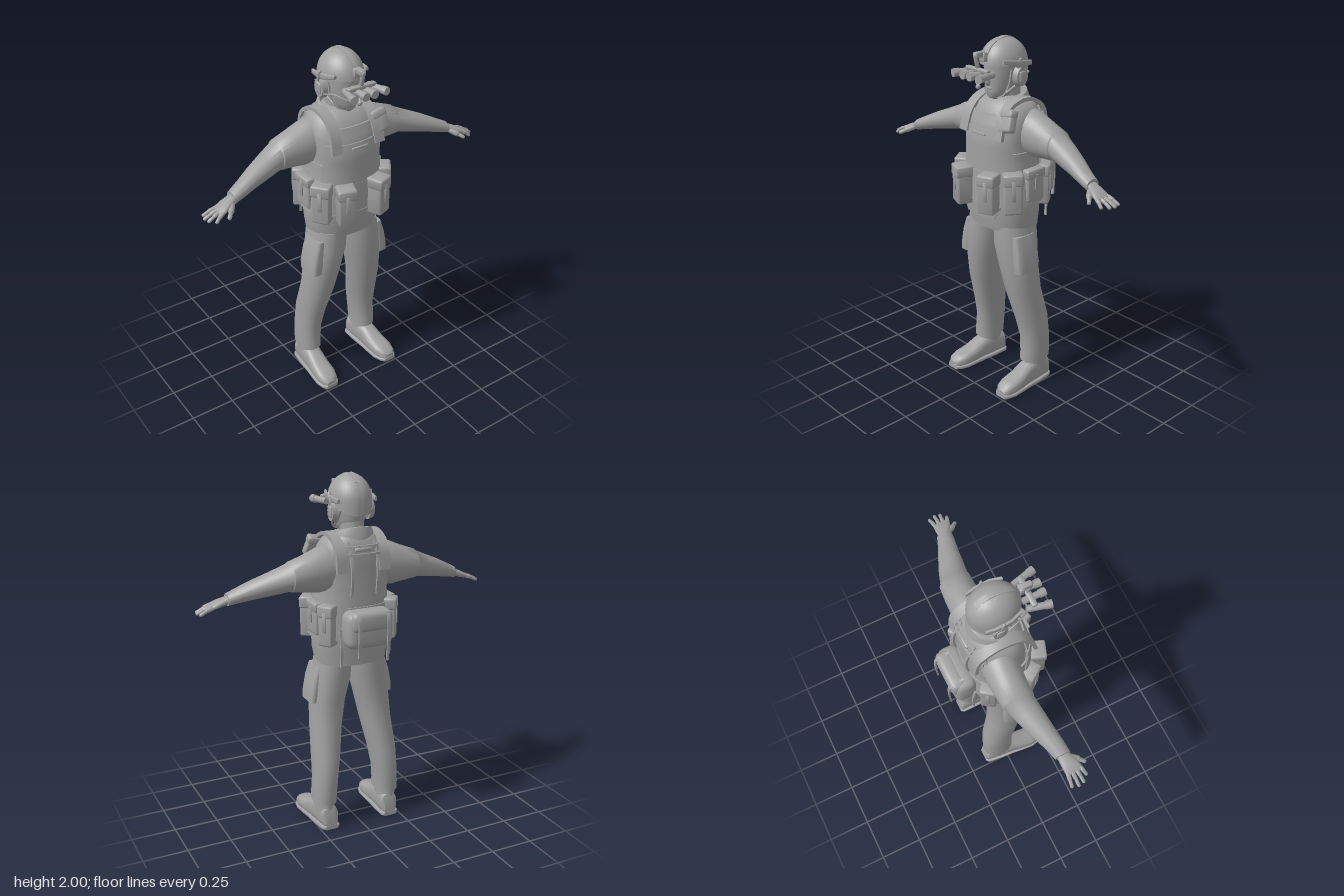
import * as THREE from 'three';
import { toCreasedNormals } from 'three/addons/utils/BufferGeometryUtils.js';
import { RoundedBoxGeometry } from 'three/addons/geometries/RoundedBoxGeometry.js';

const V = (x, y, z) => new THREE.Vector3(x, y, z);

// Closed solid through equal-length rings of points, both ends capped.
function loft(rings) {
  const n = rings[0].length, idx = [], last = (rings.length - 1) * n;
  for (let i = 0; i < rings.length - 1; i++) for (let j = 0; j < n; j++) {
    const a = i * n + j, b = i * n + (j + 1) % n;
    idx.push(a, a + n, b, b, a + n, b + n);
  }
  for (let j = 0; j < n / 2 - 1; j++) {
    const [a, b, c, d] = [j, j + 1, n - 2 - j, n - 1 - j];
    idx.push(a, b, c, a, c, d, last + a, last + c, last + b, last + a, last + d, last + c);
  }
  const g = new THREE.BufferGeometry().setFromPoints(rings.flat());
  g.setIndex(idx);
  return g;
}

// Superellipse ring across the given axis; a and b are its half sizes.
function ring(axis, x, y, z, a, b, p = 2, n = 32) {
  return Array.from({ length: n }, (_, i) => {
    const t = (i + 0.5) / n * Math.PI * 2, c = Math.cos(t), s = Math.sin(t);
    const u = a * Math.sign(c) * Math.abs(c) ** (2 / p), v = b * Math.sign(s) * Math.abs(s) ** (2 / p);
    return axis === 'y' ? V(x + u, y, z + v) : axis === 'x' ? V(x, y + u, z + v) : V(x + u, y + v, z);
  });
}
const body = (axis, rows, p, n) => loft(rows.map(r => ring(axis, ...r, p, n)));

// Torso profile: y, half width, half depth, z centre.
const torso = [[0.975, 0.2, 0.15, 0.015], [1.05, 0.213, 0.158, 0.02], [1.13, 0.215, 0.165, 0.02],
  [1.25, 0.203, 0.165, 0.02], [1.38, 0.19, 0.162, 0.02], [1.48, 0.19, 0.162, 0.02], [1.56, 0.195, 0.155, 0.01],
  [1.62, 0.186, 0.143, 0], [1.66, 0.16, 0.125, -0.005], [1.695, 0.1, 0.09, -0.015]];
function torsoAt(y, t, d) {
  let i = 0;
  while (i < torso.length - 2 && torso[i + 1][0] < y) i++;
  const k = (y - torso[i][0]) / (torso[i + 1][0] - torso[i][0]);
  const [, rx, rz, cz] = torso[i].map((v, j) => THREE.MathUtils.lerp(v, torso[i + 1][j], k));
  const c = Math.cos(t), s = Math.sin(t), e = 2 / 2.4;
  return V((rx + d) * Math.sign(c) * Math.abs(c) ** e, y, cz + (rz + d) * Math.sign(s) * Math.abs(s) ** e);
}
// Raised panel that follows the torso between two heights, half angle in radians.
function panel(y0, y1, mid, half0, half1, d) {
  const rows = 8, cols = 20;
  return loft(Array.from({ length: rows + 1 }, (_, i) => {
    const k = i / rows, y = y0 + (y1 - y0) * k, h = half0 + (half1 - half0) * k;
    const arc = off => Array.from({ length: cols + 1 }, (_, j) => torsoAt(y, mid - h + 2 * h * j / cols, off));
    return [...arc(d), ...arc(-0.02).reverse()];
  }));
}
// Flat strap along a path lying roughly in the yz plane.
function ribbon(pts, w, t) {
  const curve = new THREE.CatmullRomCurve3(pts.map(p => V(...p))), steps = 20;
  return loft(Array.from({ length: steps + 1 }, (_, i) => {
    const p = curve.getPoint(i / steps), side = V(1, 0, 0);
    const nrm = side.clone().cross(curve.getTangent(i / steps)).normalize();
    return [[1, 1], [-1, 1], [-1, -1], [1, -1]].map(([a, b]) =>
      p.clone().addScaledVector(side, a * w / 2).addScaledVector(nrm, b * t / 2));
  }));
}
const box = (w, h, d, x, y, z, rot = 0, r = 0.012) => new RoundedBoxGeometry(w, h, d, 2, r).rotateY(rot).translate(x, y, z);
const tube = (pts, r) => new THREE.TubeGeometry(new THREE.CatmullRomCurve3(pts.map(p => V(...p))), 20, r, 8);
function rod(a, b, r, capped = true) {
  const A = V(...a), B = V(...b), d = B.clone().sub(A), L = d.length();
  const g = capped ? new THREE.CapsuleGeometry(r, L, 5, 12) : new THREE.CylinderGeometry(r, r, L, 18);
  g.applyQuaternion(new THREE.Quaternion().setFromUnitVectors(V(0, 1, 0), d.normalize()));
  return g.translate(...A.add(B).multiplyScalar(0.5).toArray());
}

export function createModel() {
  const model = new THREE.Group();
  const grey = new THREE.MeshStandardMaterial({ color: 0xa0a0a0 });
  grey.name = 'plain grey';

  function add(name, geo, flip = 1, crease = 0.7) {
    let g = geo.index ? geo.toNonIndexed() : geo.clone();
    g.deleteAttribute('uv');
    if (flip < 0) { // mirrored copy with its corners put back in order
      g.scale(-1, 1, 1);
    }
    const p = g.attributes.position, a = V(), b = V(), c = V();
    let vol = 0;
    for (let i = 0; i < p.count; i += 3) {
      a.fromBufferAttribute(p, i); b.fromBufferAttribute(p, i + 1); c.fromBufferAttribute(p, i + 2);
      vol += a.dot(b.cross(c));
    }
    if (vol < 0) for (let i = 0; i < p.count; i += 3) {
      b.fromBufferAttribute(p, i + 1); c.fromBufferAttribute(p, i + 2);
      p.setXYZ(i + 1, c.x, c.y, c.z); p.setXYZ(i + 2, b.x, b.y, b.z);
    }
    g.deleteAttribute('normal');
    g = toCreasedNormals(g, crease);
    const m = new THREE.Mesh(g, grey);
    m.name = name;
    model.add(m);
  }
  const pair = (name, geo, crease) => {
    add('left' + name, geo, 1, crease);
    add('right' + name, geo, -1, crease);
  };

  // Jacket and vest
  add('jacket', body('y', torso.map(([y, rx, rz, cz]) => [0, y, cz, rx, rz]), 2.4, 48));
  const F = Math.PI / 2, B = -Math.PI / 2;
  add('vestFront', panel(1.3, 1.54, F, 1.15, 0.95, 0.016));
  add('vestBib', panel(1.53, 1.62, F, 0.95, 0.75, 0.01));
  add('vestBack', panel(1.3, 1.64, B, 1.1, 0.9, 0.012));
  add('backPlate', panel(1.4, 1.6, B, 0.8, 0.8, 0.022));
  add('jacketFrontFlap', panel(1.05, 1.14, F, 0.4, 0.65, 0.02));
  for (const mid of [0, Math.PI]) add('vestSide', panel(1.3, 1.42, mid, 0.7, 0.7, 0.01));
  for (const mid of [F, B]) add('belt', panel(1.13, 1.31, mid, 1.62, 1.62, 0.018));
  pair('ShoulderStrap', ribbon([[0.135, 1.5, 0.178], [0.13, 1.6, 0.15], [0.125, 1.66, 0.1], [0.125, 1.69, 0.02],
    [0.125, 1.68, -0.06], [0.125, 1.62, -0.135], [0.125, 1.5, -0.155]], 0.062, 0.02));
  pair('BackCord', ribbon([[0.075, 1.66, -0.12], [0.075, 1.55, -0.168], [0.075, 1.47, -0.175], [0.075, 1.38, -0.165]], 0.014, 0.012));
  add('dragHandle', box(0.1, 0.02, 0.02, 0, 1.62, -0.15, 0, 0.006));
  add('shoulderPouch', box(0.085, 0.115, 0.05, 0, 0, 0).rotateX(-0.4).rotateZ(0.2).translate(0.165, 1.6, 0.135));
  add('shoulderPouchFlap', box(0.09, 0.045, 0.054, 0, 0.04, 0).rotateX(-0.4).rotateZ(0.2).translate(0.165, 1.6, 0.137));
  add('chestTab', box(0.1, 0.012, 0.012, 0, 1.515, 0.194, 0, 0.004));

  // Sloping collar around the neck
  add('collar', loft([[1.6, 0.13, 0.125], [1.655, 0.125, 0.118], [1.695, 0.112, 0.105], [1.7, 0.1, 0.095], [1.62, 0.08, 0.078]]
    .map(([y, a, b]) => ring('y', 0, y, -0.005, a, b).map(p => V(p.x, p.y - p.z * 0.32, p.z)))));

  // Head
  add('neck', body('y', [[0, 1.6, -0.02, 0.065, 0.07], [0, 1.76, -0.01, 0.065, 0.07]]));
  add('face', body('y', [[0, 1.685, 0.055, 0.03, 0.05], [0, 1.7, 0.04, 0.052, 0.078], [0, 1.73, 0.025, 0.068, 0.096],
    [0, 1.77, 0.02, 0.08, 0.104], [0, 1.82, 0.02, 0.086, 0.106], [0, 1.89, 0.02, 0.088, 0.108]], 2.2));
  add('nose', new THREE.SphereGeometry(1, 14, 10).scale(0.015, 0.03, 0.022).translate(0, 1.785, 0.122));
  add('mouth', new THREE.SphereGeometry(1, 14, 8).scale(0.024, 0.009, 0.012).translate(0, 1.745, 0.115));

  // Helmet shell: the rim sits high over the face and low at the nape
  const rim = s => 1.865 + (s > 0.3 ? 0.005 : THREE.MathUtils.lerp(-0.075, 0.005, (s + 1) / 1.3));
  const shell = (k, f) => Array.from({ length: 40 }, (_, j) => {
    const t = (j + 0.5) / 40 * Math.PI * 2, s = Math.sin(t);
    const end = Math.acos((rim(s) - 1.865) / 0.135), q = end * k, r = f * (q > F ? 0.94 + 0.06 * Math.sin(q) : Math.sin(q));
    return V(0.114 * r * Math.cos(t), 1.865 + 0.135 * Math.cos(q), 0.015 + 0.138 * r * s);
  });
  add('helmet', loft([...Array.from({ length: 14 }, (_, i) => shell(0.02 + 0.98 * i / 13, 1)), shell(1, 0.9), shell(0.9, 0.86)]));
  pair('HelmetRail', body('z', [[0.108, 1.868, -0.08, 0.007, 0.012], [0.117, 1.872, -0.03, 0.008, 0.016],
    [0.117, 1.882, 0.05, 0.008, 0.016], [0.098, 1.895, 0.11, 0.008, 0.01]], 4, 16));
  pair('EarCup', new THREE.CylinderGeometry(0.042, 0.05, 0.03, 24).rotateZ(-F).scale(1, 1.15, 0.9).translate(0.108, 1.805, -0.005));
  pair('EarCupCap', box(0.016, 0.06, 0.045, 0.121, 1.805, -0.005, 0, 0.007));
  pair('EarCupArm', rod([0.12, 1.85, -0.005], [0.122, 1.9, 0.01], 0.008));
  pair('ChinStrap', tube([[0.1, 1.85, 0.06], [0.087, 1.77, 0.065], [0.062, 1.71, 0.085], [0, 1.692, 0.11]], 0.006));
  pair('NapeStrap', tube([[0.095, 1.82, -0.075], [0.085, 1.77, -0.02], [0.068, 1.72, 0.06]], 0.006));
  add('helmetCrest', ribbon([[0, 1.915, 0.146], [0, 1.965, 0.11], [0, 1.996, 0.04], [0, 1.996, -0.02], [0, 1.96, -0.08]], 0.03, 0.006));
  add('microphoneBoom', tube([[-0.115, 1.78, 0.03], [-0.1, 1.8, 0.1], [-0.06, 1.78, 0.16], [-0.01, 1.765, 0.185]], 0.004));
  add('microphone', new THREE.SphereGeometry(0.014, 14, 10).translate(-0.005, 1.763, 0.19));

  // Goggles on their hinged mount
  add('goggleMount', box(0.045, 0.05, 0.025, 0, 1.915, 0.158, 0, 0.006));
  add('goggleHinge', box(0.03, 0.03, 0.06, 0, 1.93, 0.185, 0, 0.006));
  add('goggleArm', rod([0, 1.93, 0.21], [0, 1.86, 0.195], 0.012));
  add('goggleBridge', box(0.17, 0.022, 0.03, 0, 1.853, 0.195, 0, 0.006));
  for (const [x, splay] of [[0.027, 0], [0.07, 0.025]]) {
    pair('GoggleTube', rod([x, 1.833, 0.155], [x + splay, 1.833, 0.25], 0.018, false));
    pair('GoggleLens', rod([x + splay * 0.9, 1.833, 0.245], [x + splay * 1.2, 1.833, 0.278], 0.022, false));
  }

  // Arms and hands
  pair('Sleeve', body('x', [[0.08, 1.53, -0.03, 0.11, 0.1], [0.17, 1.515, -0.03, 0.125, 0.098], [0.22, 1.505, -0.032, 0.12, 0.095],
    [0.29, 1.495, -0.032, 0.1, 0.09], [0.37, 1.485, -0.027, 0.081, 0.086], [0.375, 1.484, -0.026, 0.075, 0.08],
    [0.46, 1.457, -0.005, 0.064, 0.072], [0.55, 1.43, 0.02, 0.053, 0.06], [0.63, 1.402, 0.045, 0.042, 0.05], [0.692, 1.38, 0.06, 0.033, 0.043]]));
  pair('Palm', body('x', [[0.67, 1.385, 0.056, 0.022, 0.032], [0.71, 1.37, 0.067, 0.021, 0.037], [0.74, 1.36, 0.075, 0.02, 0.045],
    [0.775, 1.346, 0.082, 0.016, 0.048], [0.788, 1.342, 0.084, 0.01, 0.043]], 2.3, 24));
  for (const [z0, x1, z1] of [[0.046, 0.84, 0.038], [0.07, 0.85, 0.072], [0.094, 0.843, 0.103], [0.117, 0.815, 0.132]]) {
    const mid = [(0.772 + x1) / 2, 1.337, (z0 + z1) / 2];
    pair('FingerBase', rod([0.772, 1.347, z0], mid, 0.0115));
    pair('FingerTip', rod(mid, [x1, 1.32, z1], 0.0095));
  }
  pair('ThumbBase', rod([0.705, 1.365, 0.09], [0.73, 1.35, 0.125], 0.016));
  pair('ThumbTip', rod([0.73, 1.35, 0.125], [0.755, 1.333, 0.152], 0.011));

  // Belt pouches: x, y, z, width, height, depth, turn
  for (const [x, y, z, w, h, d, rot] of [[0.105, 1.212, 0.215, 0.095, 0.215, 0.1, 0.35], [0.195, 1.215, 0.13, 0.1, 0.225, 0.085, 0.95],
    [0.215, 1.24, 0.0, 0.12, 0.18, 0.05, F], [0.185, 1.215, -0.1, 0.085, 0.225, 0.08, 2.2]]) {
    pair('Pouch', box(w, h, d, x, y, z, rot));
    pair('PouchFlap', box(w + 0.008, h * 0.3, d + 0.01, x, y + h * 0.36, z, rot));
    const o = d / 2 + 0.003;
    pair('PouchTab', box(0.022, h * 0.5, 0.008, x + Math.sin(rot) * o, y + h * 0.1, z + Math.cos(rot) * o, rot, 0.003));
  }

  // Rear bag with hanging straps
  add('rearBag', box(0.27, 0.205, 0.13, 0, 1.205, -0.2, 0, 0.045));
  add('rearBagFlap', box(0.235, 0.11, 0.09, 0, 1.255, -0.235, 0, 0.03));
  pair('BagStrap', ribbon([[0.085, 1.31, -0.2], [0.085, 1.29, -0.275], [0.085, 1.2, -0.288], [0.085, 1.07, -0.282]], 0.018, 0.008));
  pair('HangingStrap', ribbon([[0.14, 1.2, -0.16], [0.14, 1.1, -0.175], [0.14, 0.99, -0.172]], 0.014, 0.008));

  // Trousers, cargo pockets and boots
  pair('TrouserLeg', body('y', [[0.196, 0.155, -0.045, 0.066, 0.093], [0.196, 0.2, -0.047, 0.067, 0.093], [0.189, 0.3, -0.05, 0.069, 0.092],
    [0.178, 0.42, -0.033, 0.077, 0.1], [0.156, 0.6, 0.012, 0.088, 0.104], [0.137, 0.75, 0.03, 0.099, 0.112],
    [0.113, 0.88, 0.03, 0.106, 0.125], [0.1, 1.0, 0.025, 0.1, 0.125]].map(([x, y, z, a, b]) => [x, y, z, a, b]), 2.2));
  pair('CargoPocket', body('y', [[0.222, 0.745, 0.05, 0.034, 0.075], [0.218, 0.79, 0.05, 0.036, 0.078],
    [0.205, 0.88, 0.05, 0.032, 0.075], [0.19, 0.95, 0.05, 0.024, 0.07]], 4));
  const foot = [[-0.14, 0.08, 0.034], [-0.125, 0.13, 0.048], [-0.04, 0.155, 0.054], [0.04, 0.13, 0.054], [0.1, 0.098, 0.058],
    [0.17, 0.08, 0.06], [0.215, 0.066, 0.048], [0.236, 0.042, 0.03]];
  pair('Boot', body('z', foot.map(([z, h, w]) => [0.198 + z * 0.06, h / 2 + 0.003, z, w, h / 2]), 2.7));
  pair('BootSole', body('z', foot.map(([z, , w]) => [0.198 + z * 0.06, 0.012, z * 1.015, w + 0.006, 0.012]), 5));
  pair('BootShaft', body('y', [[0.196, 0.06, -0.05, 0.052, 0.08], [0.196, 0.2, -0.05, 0.056, 0.08]]));
  return model;
}
